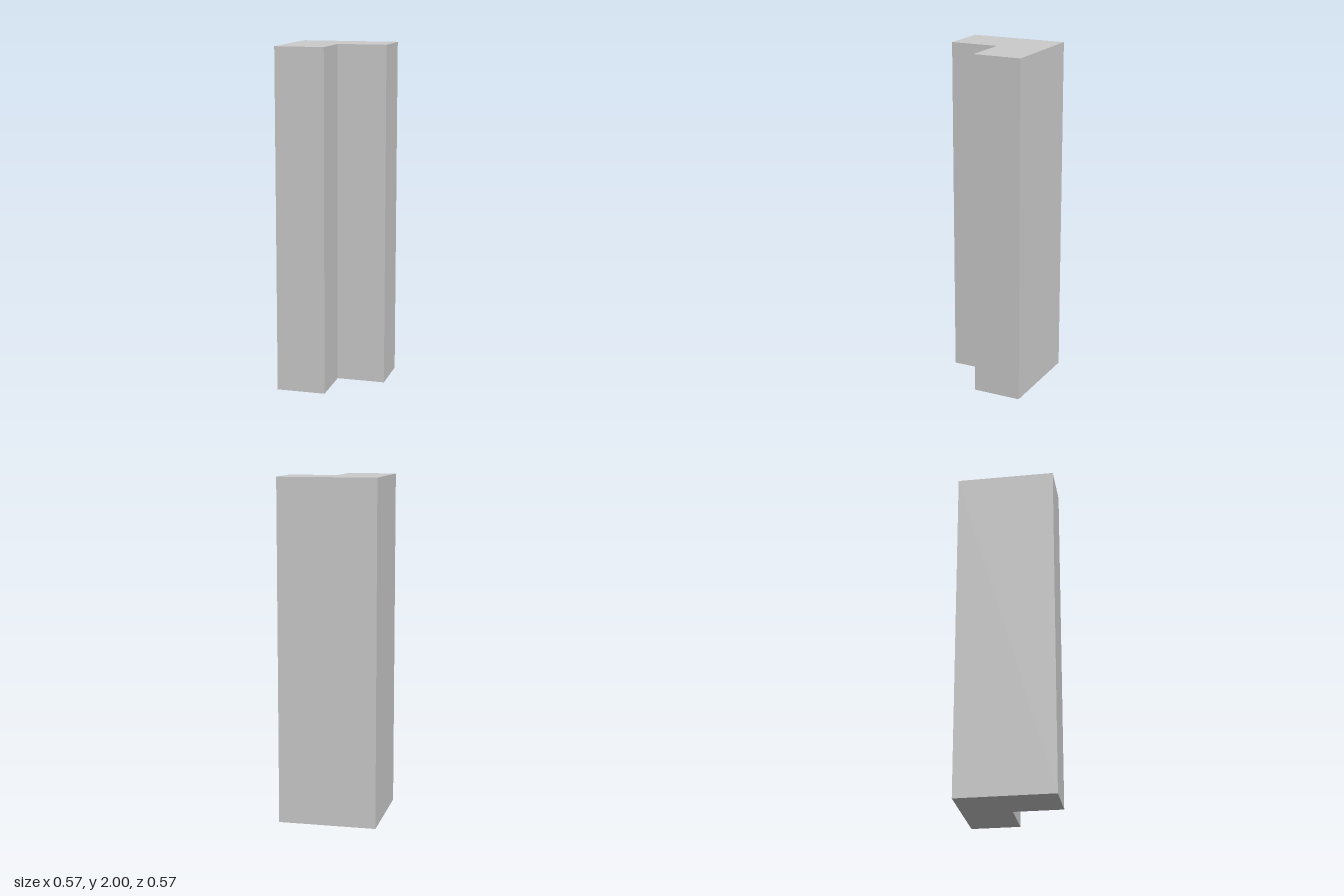
import * as THREE from 'three';

const HEIGHT = 2;
const HALF = 0.286; // half the width and depth, also the thickness of each leg

export function createModel() {
  const group = new THREE.Group();
  group.name = 'cornerPost';

  // L-shaped plan, notched at the front on the +x side (shape y becomes -z)
  const plan = new THREE.Shape([
    [-HALF, -HALF], [0, -HALF], [0, 0], [HALF, 0], [HALF, HALF], [-HALF, HALF],
  ].map(([x, y]) => new THREE.Vector2(x, y)));

  // Raise the plan to the full height
  const geometry = new THREE.ExtrudeGeometry(plan, { depth: HEIGHT, bevelEnabled: false });
  geometry.rotateX(-Math.PI / 2);

  const post = new THREE.Mesh(
    geometry,
    new THREE.MeshStandardMaterial({ color: 0xcccccc, flatShading: true }),
  );
  post.name = 'lShapedPost';
  group.add(post);
  return group;
}
